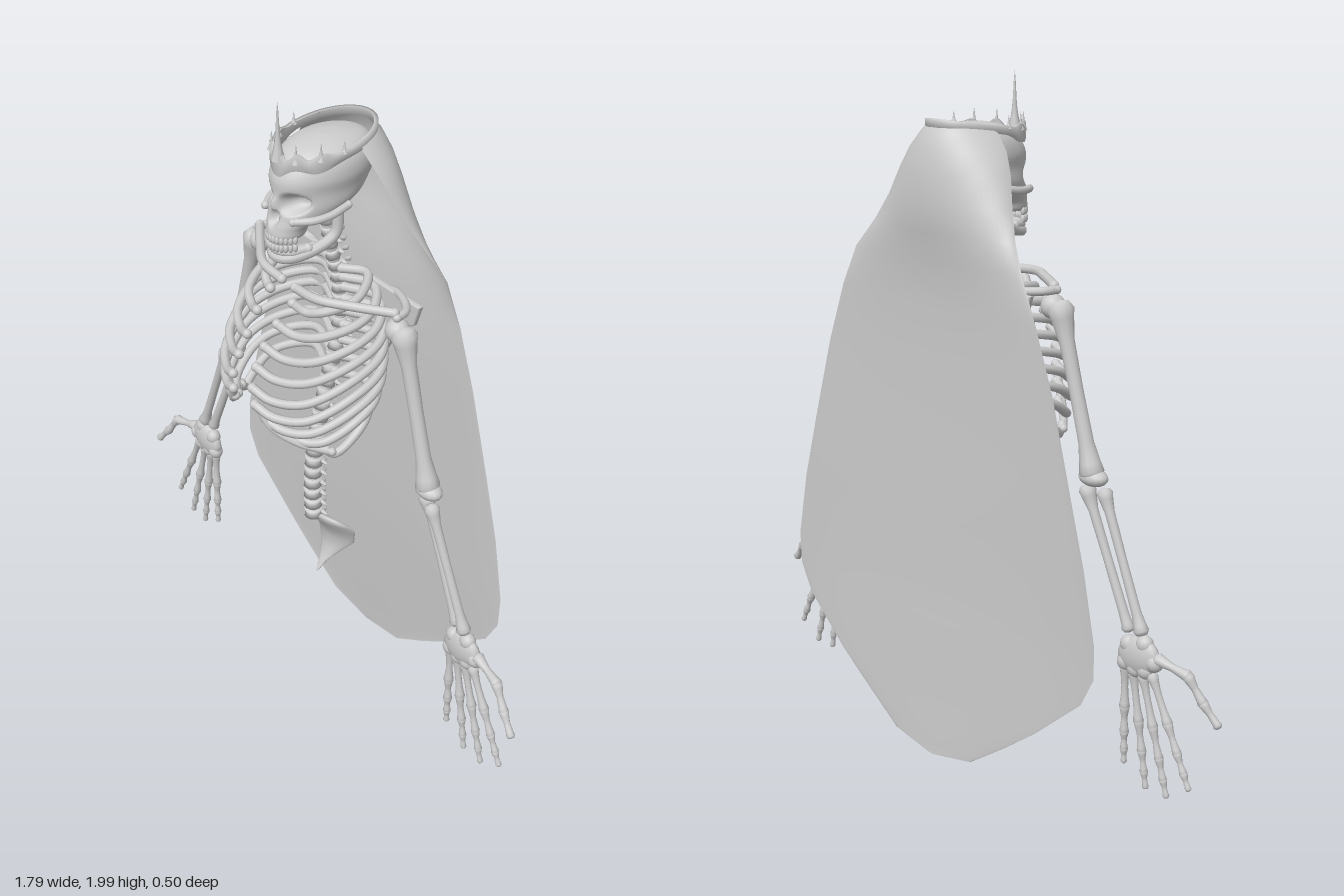
import * as THREE from 'three';

const V = (x, y, z) => new THREE.Vector3(x, y, z);
const grey = new THREE.MeshStandardMaterial({ color: 0xcccccc });
const thin = new THREE.MeshStandardMaterial({ color: 0xcccccc, side: THREE.DoubleSide });

function add(parent, name, geometry, material = grey) {
  const mesh = new THREE.Mesh(geometry, material);
  mesh.name = name;
  parent.add(mesh);
  return mesh;
}

// Skin over a list of rings; each ring runs from front towards +x, rings run upwards.
function loft(rings) {
  const n = rings[0].length, index = [];
  for (let i = 0; i < rings.length - 1; i++)
    for (let j = 0; j < n - 1; j++) {
      const a = i * n + j, b = a + 1, c = a + n, d = c + 1;
      index.push(a, b, d, a, d, c);
    }
  const g = new THREE.BufferGeometry().setFromPoints(rings.flat());
  g.setIndex(index);
  g.computeVertexNormals();
  // weld the shading along the seam of closed rings
  const N = g.attributes.normal;
  rings.forEach((r, i) => {
    if (r[0].distanceTo(r[n - 1]) > 1e-5) return;
    const a = i * n, b = a + n - 1;
    const m = V(N.getX(a) + N.getX(b), N.getY(a) + N.getY(b), N.getZ(a) + N.getZ(b)).normalize();
    N.setXYZ(a, m.x, m.y, m.z);
    N.setXYZ(b, m.x, m.y, m.z);
  });
  return g;
}

const ring = (n, f) => Array.from({ length: n + 1 }, (_, j) => f((j % n) / n * Math.PI * 2));

// Turned bone with swollen ends between two points; r = shaft radius, k0/k1 = knob radii.
function bone(parent, name, a, b, r, k0, k1 = k0) {
  const L = a.distanceTo(b);
  const pts = [[0, -k0 * 0.6], [k0 * 0.7, -k0 * 0.4], [k0, k0 * 0.1], [k0 * 0.85, k0 * 0.8], [r, Math.min(k0 * 2.4, L * 0.4)],
    [r * 0.92, L * 0.5], [r, L - Math.min(k1 * 2.4, L * 0.4)], [k1 * 0.85, L - k1 * 0.8], [k1, L - k1 * 0.1], [k1 * 0.7, L + k1 * 0.4], [0, L + k1 * 0.6]];
  const mesh = add(parent, name, new THREE.LatheGeometry(pts.map(p => new THREE.Vector2(...p)), 12));
  mesh.position.copy(a);
  mesh.quaternion.setFromUnitVectors(V(0, 1, 0), b.clone().sub(a).normalize());
  return mesh;
}

function ball(parent, name, p, r, sx = 1, sy = 1, sz = 1) {
  const m = add(parent, name, new THREE.SphereGeometry(r, 14, 10));
  m.position.copy(p);
  m.scale.set(sx, sy, sz);
  return m;
}

function tube(parent, name, pts, r, seg = 28) {
  const curve = new THREE.CatmullRomCurve3(pts);
  ball(parent, name + 'End', pts[pts.length - 1], r * 1.05);
  ball(parent, name + 'End', pts[0], r * 1.05);
  return add(parent, name, new THREE.TubeGeometry(curve, seg, r, 8));
}

function buildSkull(root) {
  const g = new THREE.Group();
  g.name = 'skull';
  root.add(g);
  // y, half width, front z, back z
  const rows = [[1.607, 0.002, 0.08, 0.07], [1.61, 0.048, 0.132, 0.03], [1.64, 0.06, 0.132, 0.01], [1.67, 0.085, 0.122, -0.08],
    [1.7, 0.1, 0.118, -0.15], [1.74, 0.102, 0.118, -0.185], [1.78, 0.108, 0.115, -0.2], [1.82, 0.1, 0.09, -0.195],
    [1.85, 0.075, 0.045, -0.165], [1.865, 0.03, -0.02, -0.1], [1.867, 0.001, -0.058, -0.06]];
  const spline = f => new THREE.CatmullRomCurve3(rows.map(f), false, 'catmullrom', 0.5);
  const heights = spline(r => V(r[0], 0, 0)), sizes = spline(r => V(r[1], r[2], r[3]));
  const dent = (x, y, cx, cy, rx, ry) => Math.exp(-Math.pow(((x - cx) / rx) ** 2 + ((y - cy) / ry) ** 2, 2));
  const rings = [];
  for (let i = 0; i <= 56; i++) {
    const y = heights.getPoint(i / 56).x, s = sizes.getPoint(i / 56);
    rings.push(ring(88, t => {
      const x = s.x * Math.sin(t), c = Math.cos(t);
      let z = (s.y + s.z) / 2 + (s.y - s.z) / 2 * c;
      if (c > 0) // eye sockets, nose opening and brow
        z += -0.05 * dent(Math.abs(x), y, 0.047, 1.715, 0.028, 0.025) - 0.035 * dent(x, y, 0, 1.665, 0.014, 0.02)
          + 0.012 * dent(x, y, 0, 1.705, 0.012, 0.02);
      return V(x, y, z);
    }));
  }
  add(g, 'cranium', loft(rings));
  // lower jaw with its two upright branches
  const jaw = [V(0.078, 1.675, -0.035), V(0.076, 1.6, -0.025), V(0.062, 1.565, 0.035), V(0.035, 1.55, 0.1), V(0, 1.548, 0.118)];
  const full = [...jaw, ...jaw.slice(0, 4).reverse().map(p => V(-p.x, p.y, p.z))];
  tube(g, 'jaw', full, 0.016, 60);
  const chin = [V(0.055, 1.572, 0.05), V(0.034, 1.568, 0.098), V(0, 1.568, 0.116), V(-0.034, 1.568, 0.098), V(-0.055, 1.572, 0.05)];
  tube(g, 'lowerGum', chin, 0.014, 30);
  for (const s of [1, -1])
    tube(g, 'cheekbone', [V(s * 0.06, 1.672, 0.105), V(s * 0.092, 1.675, 0.06), V(s * 0.104, 1.68, 0.01), V(s * 0.1, 1.69, -0.05)], 0.011, 18);
  // two rows of teeth
  for (const y of [1.608, 1.585])
    for (let i = -6; i <= 6; i++) {
      const a = i * 0.2;
      ball(g, 'tooth', V(0.054 * Math.sin(a), y, 0.065 + 0.068 * Math.cos(a)), 0.008, 0.9, 1.6, 0.9);
    }
}

function buildCrown(root) {
  const g = new THREE.Group();
  g.name = 'crown';
  root.add(g);
  const at = (t, grow = 0) => V((0.108 + grow) * Math.sin(t), 1.85 - 0.023 * Math.cos(t), -0.047 + (0.153 + grow) * Math.cos(t));
  const front = t => Math.max(0, Math.cos(t));
  const low = t => -0.012 - 0.03 * front(t) * (0.55 + 0.45 * Math.cos(t * 6));
  const high = t => 0.01 + 0.012 * front(t) * (1 + Math.cos(t * 12));
  const edge = (grow, h) => ring(96, t => { const p = at(t, grow); p.y += h(t); return p; });
  add(g, 'band', loft([edge(-0.006, high), edge(-0.006, low), edge(0.006, low), edge(0.006, high), edge(-0.006, high)]), thin);
  // tall front spike and shrinking side spikes
  const spikes = [[0, 0.165, 0.02], [0.5, 0.055, 0.012], [-0.5, 0.055, 0.012], [1.0, 0.05, 0.012], [-1.0, 0.05, 0.012],
    [1.45, 0.035, 0.01], [-1.45, 0.035, 0.01]];
  for (const [t, h, r] of spikes) {
    const geo = new THREE.ConeGeometry(r, h, 8, 6).translate(0, h / 2, 0);
    const P = geo.attributes.position;
    for (let i = 0; i < P.count; i++) { // pinch into a concave thorn
      const k = 1 - 0.45 * Math.sin(Math.PI * P.getY(i) / h);
      P.setX(i, P.getX(i) * k);
      P.setZ(i, P.getZ(i) * k);
    }
    geo.computeVertexNormals();
    const m = add(g, 'crownSpike', geo);
    m.position.copy(at(t));
    m.position.y += 0.005;
  }
}

function buildSpine(root) {
  const g = new THREE.Group();
  g.name = 'spine';
  root.add(g);
  const curve = new THREE.CatmullRomCurve3([[1.62, -0.055], [1.52, -0.07], [1.42, -0.095], [1.3, -0.108], [1.2, -0.1], [1.1, -0.075],
    [1, -0.05], [0.85, -0.02], [0.7, -0.01], [0.57, -0.015]].map(p => V(0, p[0], p[1])));
  add(g, 'spineCore', new THREE.TubeGeometry(curve, 50, 0.018, 10));
  for (let i = 0; i < 27; i++) {
    const v = new THREE.Group();
    v.name = 'vertebra';
    v.position.copy(curve.getPointAt((i + 0.4) / 27));
    v.quaternion.setFromUnitVectors(V(0, -1, 0), curve.getTangentAt((i + 0.4) / 27));
    g.add(v);
    const r = 0.021 + i * 0.0003;
    const body = [[0, -0.014], [r, -0.014], [r * 0.85, 0], [r, 0.014], [0, 0.014]].map(p => new THREE.Vector2(...p));
    add(v, 'vertebraBody', new THREE.LatheGeometry(body, 12));
    ball(v, 'sideProcess', V(0, 0, -0.018), 0.01, i < 7 ? 3.2 : 4.6, 0.7, 0.8);
    const back = bone(v, 'backProcess', V(0, 0, -0.015), V(0, -0.018, i < 7 ? -0.05 : -0.045), 0.006, 0.008);
    back.scale.x = 0.8;
  }
  // sacrum: y, half width, front z of the middle, thickness
  const rows = [[0.34, 0.003, -0.025, 0.008], [0.38, 0.018, -0.045, 0.018], [0.42, 0.045, -0.065, 0.025], [0.47, 0.085, -0.07, 0.03],
    [0.52, 0.1, -0.05, 0.035], [0.56, 0.113, -0.02, 0.035], [0.585, 0.075, -0.008, 0.03], [0.59, 0.002, -0.01, 0.005]];
  add(g, 'sacrum', loft(rows.map(([y, w, z, d]) => ring(28, t => {
    const x = w * Math.sin(t);
    return V(x, y, z - d / 2 + d / 2 * Math.cos(t) - 3 * x * x);
  }))));
}

function buildRibs(root, s) {
  const g = new THREE.Group();
  g.name = s > 0 ? 'leftRibs' : 'rightRibs';
  root.add(g);
  // back y, back z, half width, front x, front y, front z
  const ribs = [[1.44, -0.095, 0.16, 0.05, 1.41, 0.1], [1.41, -0.1, 0.205, 0.045, 1.36, 0.15], [1.375, -0.105, 0.225, 0.04, 1.3, 0.19],
    [1.335, -0.108, 0.235, 0.04, 1.245, 0.22], [1.295, -0.108, 0.24, 0.045, 1.185, 0.238], [1.25, -0.105, 0.245, 0.05, 1.13, 0.235],
    [1.2, -0.1, 0.245, 0.07, 1.085, 0.215], [1.15, -0.09, 0.24, 0.12, 1.045, 0.17], [1.1, -0.075, 0.225, 0.2, 1.0, 0.1]];
  for (const [yb, zb, w, xf, yf, zf] of ribs) {
    const d = yf - yb;
    tube(g, 'rib', [V(s * 0.02, yb, zb), V(s * w * 0.55, yb + 0.005, zb - 0.035), V(s * w * 0.92, yb + d * 0.25, zb + 0.03),
      V(s * w, yb + d * 0.55, zb + (zf - zb) * 0.42), V(s * (w * 0.72 + xf * 0.28), yb + d * 1.05, zb + (zf - zb) * 0.78),
      V(s * (w * 0.3 + xf * 0.7), yf - 0.015, zf - 0.02), V(s * xf, yf + 0.005, zf)], 0.0135, 40);
  }
  // costal margin curling down to the lowest rib
  tube(g, 'costalMargin', [V(s * 0.06, 1.125, 0.228), V(s * 0.09, 1.07, 0.21), V(s * 0.15, 1.025, 0.16), V(s * 0.215, 1.0, 0.09)], 0.012, 20);
}

function buildArm(root, s) {
  const g = new THREE.Group();
  g.name = s > 0 ? 'leftArm' : 'rightArm';
  root.add(g);
  const P = (x, y, z = -0.058) => V(s * x, y, z);
  // shoulder
  tube(g, 'collarbone', [P(0.03, 1.445, 0.075), P(0.12, 1.45, 0.07), P(0.21, 1.45, 0.015), P(0.3, 1.45, -0.05)], 0.0135, 20);
  const blade = new THREE.Shape([[0.1, 1.43], [0.3, 1.43], [0.28, 1.37], [0.22, 1.33], [0.15, 1.2], [0.12, 1.22]].map(p => new THREE.Vector2(s * p[0], p[1])));
  add(g, 'shoulderBlade', new THREE.ExtrudeGeometry(blade, { depth: 0.008, bevelSize: 0.005, bevelThickness: 0.005, bevelSegments: 2 })).position.z = -0.145;
  tube(g, 'bladeSpine', [P(0.11, 1.4, -0.145), P(0.2, 1.43, -0.145), P(0.3, 1.44, -0.09), P(0.31, 1.44, -0.05)], 0.012, 16);
  ball(g, 'shoulderJoint', P(0.305, 1.395), 0.035);
  // upper arm and forearm
  bone(g, 'upperArm', P(0.332, 1.395), P(0.455, 0.955), 0.022, 0.038, 0.036);
  ball(g, 'elbow', P(0.46, 0.945), 0.036, 1.3, 0.7, 0.9);
  bone(g, 'ulna', P(0.445, 0.91, -0.065), P(0.6, 0.545, -0.062), 0.014, 0.025, 0.019);
  bone(g, 'radius', P(0.49, 0.905, -0.045), P(0.64, 0.545, -0.055), 0.014, 0.023, 0.022);
  // wrist
  const wrist = ball(g, 'wrist', P(0.635, 0.475), 0.06, 1.2, 0.95, 0.45);
  wrist.rotation.z = s * 0.25;
  [[0.59, 0.445], [0.625, 0.435], [0.66, 0.44], [0.69, 0.47], [0.6, 0.5], [0.655, 0.515]].forEach(p => ball(g, 'wristBone', P(...p), 0.026, 1, 1, 0.9));
  // fingers: base to tip, split into four bones; the thumb into three
  const fingers = [[0.685, 0.43, 0.82, 0.14], [0.652, 0.42, 0.745, 0.09], [0.618, 0.42, 0.672, 0.09], [0.588, 0.43, 0.592, 0.14]];
  const cuts = [0, 0.42, 0.68, 0.86, 1];
  for (const [x0, y0, x1, y1] of fingers) {
    const at = k => P(x0 + (x1 - x0) * k, y0 + (y1 - y0) * k);
    for (let i = 0; i < 4; i++) bone(g, 'fingerBone', at(cuts[i]), at(cuts[i + 1]), 0.0105 - i * 0.001, 0.0165 - i * 0.0015, 0.0155 - i * 0.002);
  }
  const thumb = [P(0.7, 0.485), P(0.795, 0.462, -0.045), P(0.84, 0.395, -0.035), P(0.885, 0.34, -0.025)];
  for (let i = 0; i < 3; i++) bone(g, 'thumbBone', thumb[i], thumb[i + 1], 0.012 - i * 0.001, 0.019 - i * 0.002, 0.017 - i * 0.002);
}

function buildCape(root) {
  // y, half width, side z, centre z
  const rows = [[0.01, 0.002, -0.24, -0.24], [0.04, 0.16, -0.235, -0.238], [0.13, 0.29, -0.23, -0.235], [0.22, 0.41, -0.228, -0.23],
    [0.36, 0.57, -0.22, -0.226], [0.45, 0.615, -0.22, -0.222], [0.55, 0.615, -0.222, -0.218], [0.75, 0.575, -0.222, -0.216],
    [0.95, 0.52, -0.22, -0.214], [1.2, 0.45, -0.215, -0.21], [1.38, 0.385, -0.213, -0.212], [1.5, 0.33, -0.207, -0.222],
    [1.58, 0.275, -0.175, -0.24], [1.66, 0.23, -0.14, -0.25], [1.74, 0.195, -0.11, -0.245], [1.8, 0.16, -0.09, -0.235],
    [1.845, 0.118, -0.08, -0.218], [1.868, 0.09, -0.1, -0.2]];
  add(root, 'hoodedCape', loft(rows.map(([y, w, zs, zc]) => Array.from({ length: 33 }, (_, j) => {
    const t = (j / 16 - 1) * Math.PI / 2;
    return V(-w * Math.sin(t), y, zs + (zc - zs) * Math.cos(t));
  }))), thin);
}

export function createModel() {
  const root = new THREE.Group();
  root.name = 'crownedSkeleton';
  buildSkull(root);
  buildCrown(root);
  buildSpine(root);
  for (const s of [1, -1]) {
    buildRibs(root, s);
    buildArm(root, s);
  }
  buildCape(root);
  return root;
}
